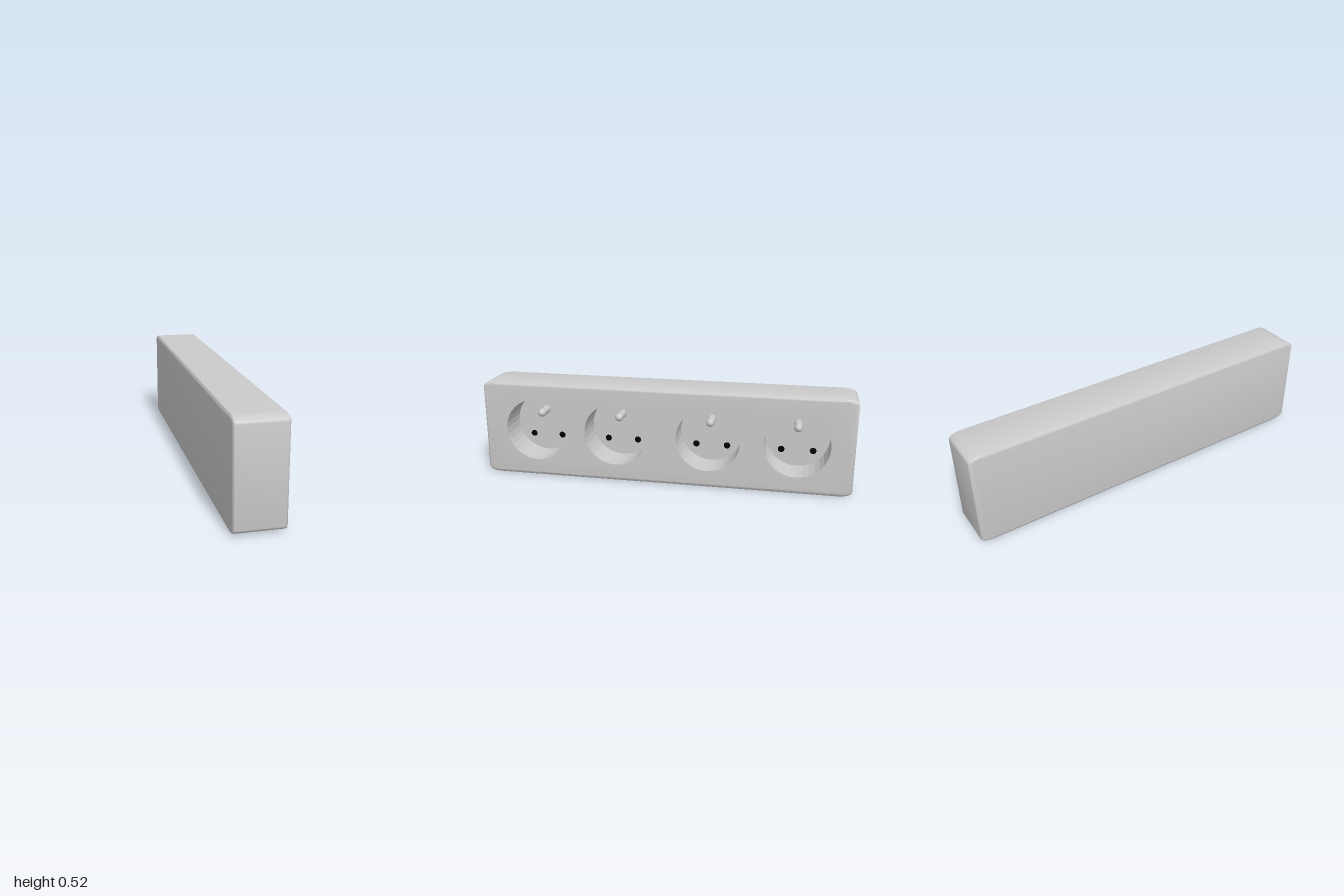
import * as THREE from 'three';
import { mergeGeometries, toCreasedNormals } from 'three/addons/utils/BufferGeometryUtils.js';

// Built lying in XY with the sockets facing +z, then turned to face +x.
const HALF_LENGTH = 1, HALF_HEIGHT = 0.2625, HALF_DEPTH = 0.125;
const SOCKETS = [-0.705, -0.26, 0.243, 0.707];
const SOCKET_RADIUS = 0.171, SOCKET_DEPTH = 0.175, SIDES = 32;
const CONTACT_X = 0.085, CONTACT_Y = -0.08, CONTACT_RADIUS = 0.018;
const BEVEL_INSET = 0.018, BEVEL_DEPTH = 0.012;

const grey = new THREE.MeshStandardMaterial({ color: 0xcccccc });
const cupGrey = new THREE.MeshStandardMaterial({ color: 0xcccccc, flatShading: true, side: THREE.DoubleSide });
const black = new THREE.MeshStandardMaterial({ color: 0x000000, side: THREE.DoubleSide });

function add(parent, name, geometry, material, x = 0, y = 0, z = 0) {
  const mesh = new THREE.Mesh(geometry, material);
  mesh.name = name;
  mesh.position.set(x, y, z);
  parent.add(mesh);
  return mesh;
}

// Rectangle with elliptical corners, shrunk by an inset
function outline(inset) {
  const points = [], steps = 8;
  const rx = 0.07 - inset, ry = 0.03 - inset;
  const w = HALF_LENGTH - inset - rx, h = HALF_HEIGHT - inset - ry;
  [[1, 1], [-1, 1], [-1, -1], [1, -1]].forEach(([sx, sy], corner) => {
    for (let i = 0; i <= steps; i++) {
      const a = (corner + i / steps) * Math.PI / 2;
      points.push(new THREE.Vector2(sx * w + rx * Math.cos(a), sy * h + ry * Math.sin(a)));
    }
  });
  return points;
}

function circleHole(x, y, radius, sides) {
  const points = [];
  for (let i = 0; i < sides; i++) {
    const a = i / sides * Math.PI * 2;
    points.push(new THREE.Vector2(x + radius * Math.cos(a), y + radius * Math.sin(a)));
  }
  return new THREE.Path(points);
}

// Rounded side wall lofted through inset outlines
function wallGeometry() {
  const rings = [], steps = 5;
  for (const side of [-1, 1]) {
    for (let i = 0; i <= steps; i++) {
      const a = (side < 0 ? steps - i : i) / steps * Math.PI / 2;
      rings.push({
        points: outline(BEVEL_INSET * (1 - Math.cos(a))),
        z: side * (HALF_DEPTH - BEVEL_DEPTH * (1 - Math.sin(a))),
      });
    }
  }
  const n = rings[0].points.length, position = [], index = [];
  rings.forEach(({ points, z }) => points.forEach((p) => position.push(p.x, p.y, z)));
  for (let r = 0; r < rings.length - 1; r++) {
    for (let j = 0; j < n; j++) {
      const a = r * n + j, b = r * n + (j + 1) % n;
      index.push(a, b, b + n, a, b + n, a + n);
    }
  }
  const geometry = new THREE.BufferGeometry();
  geometry.setAttribute('position', new THREE.Float32BufferAttribute(position, 3));
  geometry.setIndex(index);
  return geometry;
}

function bodyGeometry() {
  const front = new THREE.Shape(outline(BEVEL_INSET));
  SOCKETS.forEach((x) => front.holes.push(circleHole(x, 0, SOCKET_RADIUS, SIDES)));
  const back = new THREE.Shape(outline(BEVEL_INSET));
  const parts = [
    wallGeometry(),
    new THREE.ShapeGeometry(front).translate(0, 0, HALF_DEPTH),
    new THREE.ShapeGeometry(back).rotateY(Math.PI).translate(0, 0, -HALF_DEPTH),
  ].map((part) => {
    const flat = part.toNonIndexed();
    flat.deleteAttribute('uv');
    flat.deleteAttribute('normal');
    return flat;
  });
  return toCreasedNormals(mergeGeometries(parts), 0.6);
}

// Recessed cup with earth pin and two contact holes
function makeSocket() {
  const socket = new THREE.Group();
  socket.name = 'socket';
  const floorZ = HALF_DEPTH - SOCKET_DEPTH;

  const cup = new THREE.CylinderGeometry(SOCKET_RADIUS, SOCKET_RADIUS, SOCKET_DEPTH, SIDES, 1, true);
  add(socket, 'socketWall', cup.rotateX(Math.PI / 2), cupGrey, 0, 0, HALF_DEPTH - SOCKET_DEPTH / 2);

  const floor = new THREE.Shape(circleHole(0, 0, SOCKET_RADIUS, SIDES).getPoints());
  for (const side of [-1, 1]) floor.holes.push(circleHole(side * CONTACT_X, CONTACT_Y, CONTACT_RADIUS, 16));
  add(socket, 'socketFloor', new THREE.ShapeGeometry(floor), cupGrey, 0, 0, floorZ);

  // Dark contact holes
  for (const side of [-1, 1]) {
    const depth = 0.03;
    const wall = new THREE.CylinderGeometry(CONTACT_RADIUS, CONTACT_RADIUS, depth, 16, 1, true).rotateX(Math.PI / 2);
    const bottom = new THREE.CircleGeometry(CONTACT_RADIUS, 16).translate(0, 0, -depth / 2);
    add(socket, 'contactHole', mergeGeometries([wall, bottom]), black, side * CONTACT_X, CONTACT_Y, floorZ - depth / 2);
  }

  // Round-tipped earth pin
  const pin = new THREE.CapsuleGeometry(0.022, 0.08, 6, 16).rotateX(Math.PI / 2);
  add(socket, 'earthPin', pin, grey, 0, 0.07, floorZ + 0.04);
  return socket;
}

export function createModel() {
  const model = new THREE.Group();
  model.name = 'powerStrip';
  const strip = new THREE.Group();
  strip.name = 'strip';
  strip.position.y = HALF_HEIGHT;
  strip.rotation.y = Math.PI / 2;
  model.add(strip);

  add(strip, 'body', bodyGeometry(), grey);
  SOCKETS.forEach((x) => {
    const socket = makeSocket();
    socket.position.x = x;
    strip.add(socket);
  });
  return model;
}
